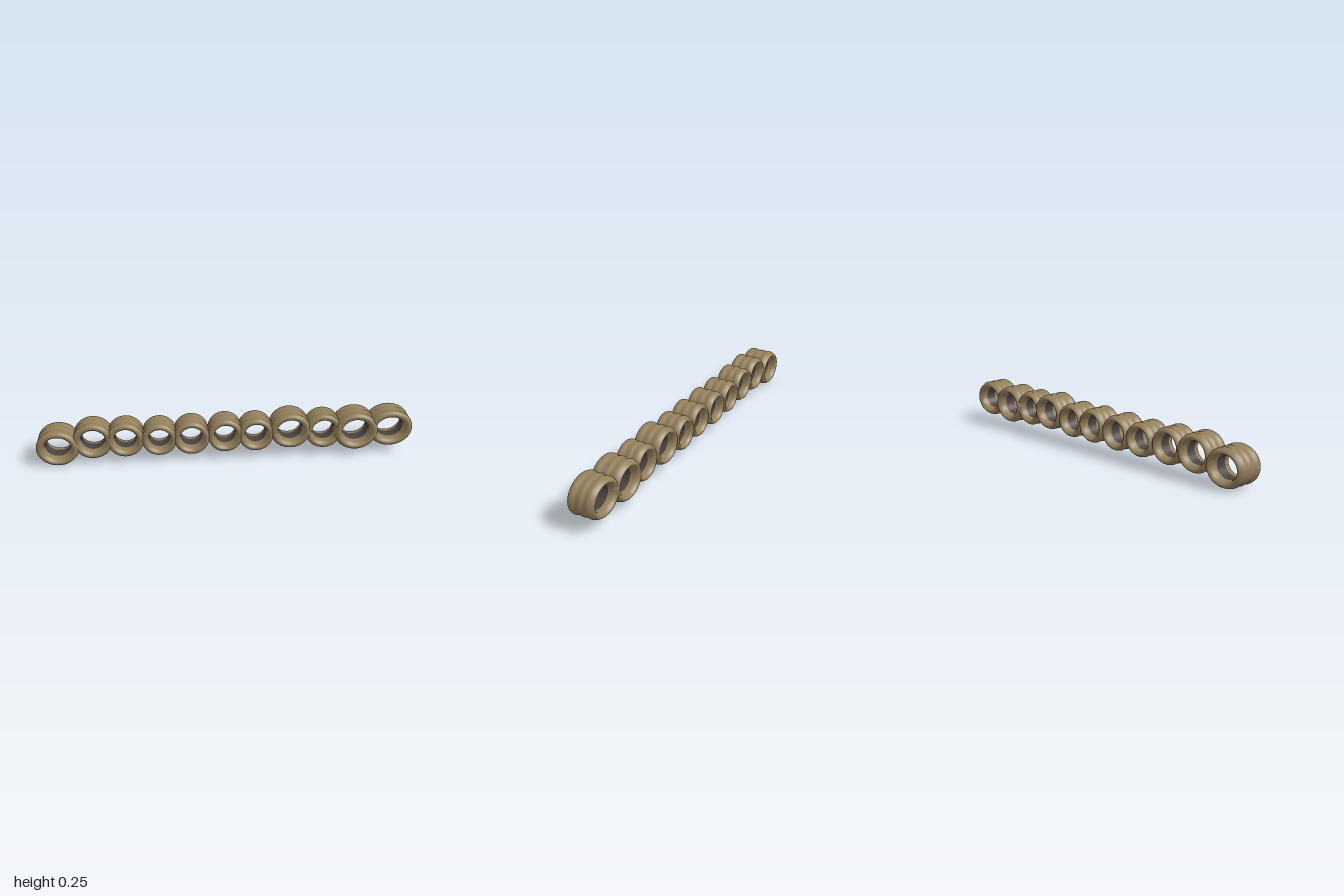
import * as THREE from 'three';

// Each link: centre x, centre y, half width, half height, half depth, depth offset
const LINKS = [
  [-0.888, 0.100, 0.112, 0.100, 0.078, 0.000],
  [-0.703, 0.131, 0.105, 0.100, 0.070, -0.002],
  [-0.532, 0.131, 0.098, 0.097, 0.070, -0.002],
  [-0.354, 0.128, 0.093, 0.091, 0.074, -0.003],
  [-0.184, 0.131, 0.095, 0.095, 0.074, -0.003],
  [-0.005, 0.137, 0.093, 0.094, 0.072, -0.003],
  [0.158, 0.136, 0.094, 0.094, 0.072, -0.003],
  [0.342, 0.152, 0.108, 0.099, 0.074, -0.003],
  [0.520, 0.143, 0.098, 0.098, 0.067, 0.000],
  [0.694, 0.139, 0.116, 0.106, 0.078, 0.000],
  [0.880, 0.147, 0.119, 0.102, 0.071, -0.001],
];

// Ring cross-section as radius and depth, both relative to 1
const PROFILE = [
  [0.60, 0], [0.61, -0.45], [0.66, -0.82], [0.80, -1], [0.92, -0.82],
  [0.98, -0.56], [0.94, -0.29], [0.985, 0], [0.945, 0.34], [1, 0.68],
  [0.94, 0.92], [0.81, 1], [0.67, 0.85], [0.61, 0.48],
];

export function createModel() {
  const group = new THREE.Group();
  const tan = new THREE.MeshStandardMaterial({ color: 0x927e5a });
  tan.name = 'tan';
  const dark = new THREE.MeshStandardMaterial({ color: 0x4a4240, side: THREE.DoubleSide });
  dark.name = 'dark brown';

  // Ridged ring: smooth closed profile turned around the z axis
  const curve = new THREE.CatmullRomCurve3(
    PROFILE.map(([r, z]) => new THREE.Vector3(r, z, 0)), true);
  const points = curve.getPoints(56).map((p) => new THREE.Vector2(p.x, p.y));
  const ringGeometry = new THREE.LatheGeometry(points, 48).rotateX(Math.PI / 2);

  // Dark lining in the middle of the bore
  const liningGeometry = new THREE.CylinderGeometry(0.597, 0.597, 0.8, 48, 1, true)
    .rotateX(Math.PI / 2);

  LINKS.forEach(([x, y, rx, ry, depth, z], i) => {
    const link = new THREE.Group();
    link.name = `link${i + 1}`;
    const ring = new THREE.Mesh(ringGeometry, tan);
    ring.name = 'ridgedRing';
    const lining = new THREE.Mesh(liningGeometry, dark);
    lining.name = 'boreLining';
    link.add(ring, lining);
    link.position.set(x, y, z);
    link.scale.set(rx, ry, depth);
    group.add(link);
  });
  return group;
}
